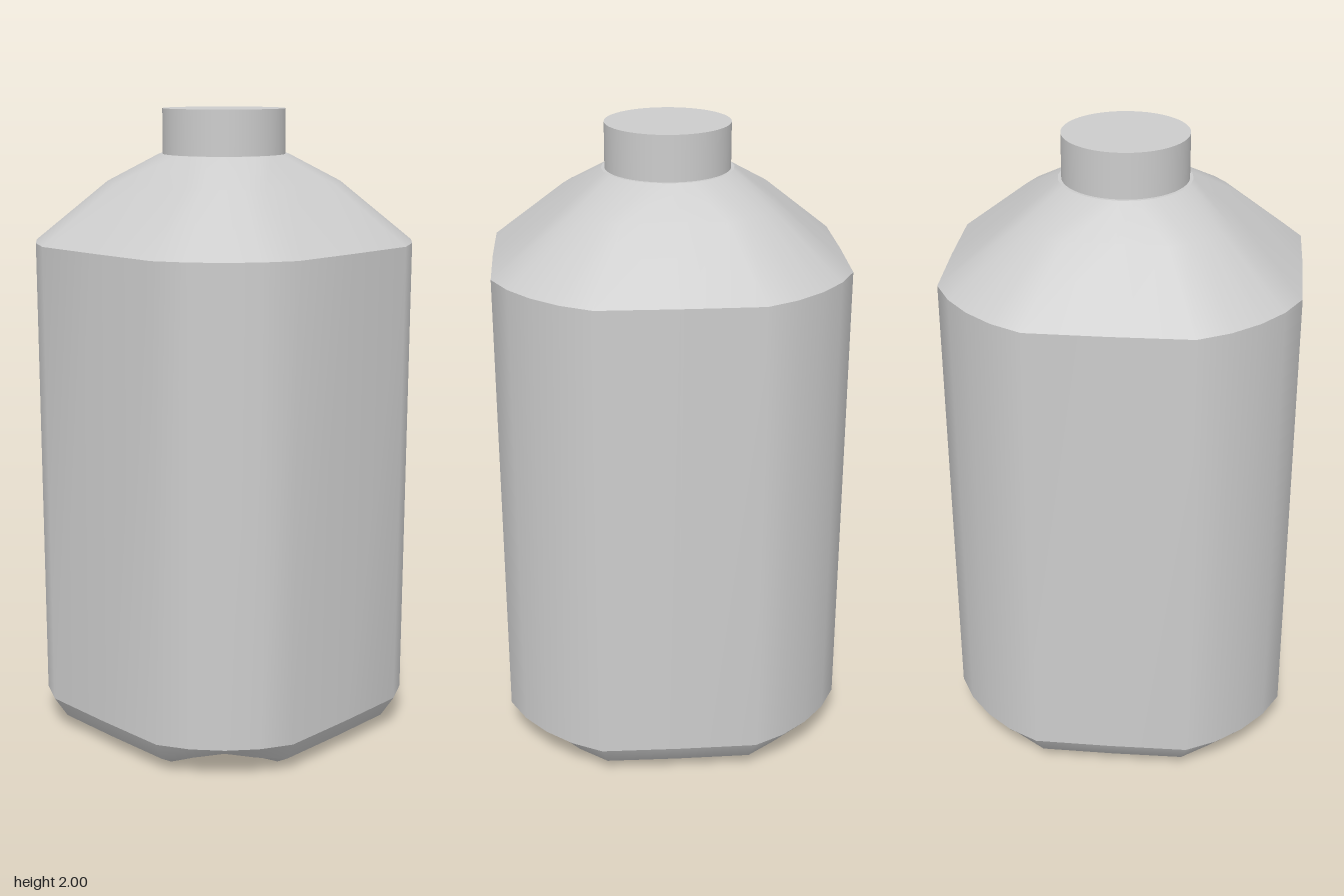
import * as THREE from 'three';

// One quarter of each outline as [x, z]; repeated four times around the axis
const BODY = [[0, 0.543], [0.245, 0.54], [0.34, 0.49], [0.422, 0.422], [0.49, 0.34], [0.54, 0.245]];
const SHOULDER = [[0, 0.315], [0.15, 0.322], [0.21, 0.296], [0.26, 0.26], [0.296, 0.21], [0.322, 0.15]];
const CIRCLE = Array.from({ length: 6 }, (_, i) => [Math.sin(i * Math.PI / 12), Math.cos(i * Math.PI / 12)]);
// How far each outline point is towards the raised corner of the base
const CORNER = [0, 0, 0.5, 1, 0.5, 0];

// Full ring from a quarter outline; height may vary between yFlat and yCorner
function ring(quarter, scale, yFlat, yCorner = yFlat) {
  const points = [];
  for (let q = 0; q < 4; q++) {
    quarter.forEach(([px, pz], i) => {
      let x = px * scale, z = pz * scale;
      for (let k = 0; k < q; k++) [x, z] = [z, -x];
      points.push([x, yFlat + (yCorner - yFlat) * CORNER[i], z]);
    });
  }
  return points;
}

// Smooth skin through rings listed from bottom to top
function loft(rings) {
  const n = rings[0].length, index = [];
  for (let i = 0; i < rings.length - 1; i++) {
    for (let j = 0; j < n; j++) {
      const k = (j + 1) % n;
      const a = i * n + j, b = i * n + k, c = b + n, d = a + n;
      index.push(a, b, c, a, c, d);
    }
  }
  const geometry = new THREE.BufferGeometry();
  geometry.setAttribute('position', new THREE.Float32BufferAttribute(rings.flat(2), 3));
  geometry.setIndex(index);
  geometry.computeVertexNormals();
  return geometry;
}

export function createModel() {
  const group = new THREE.Group();
  const material = new THREE.MeshStandardMaterial({ color: 0xcccccc });
  const add = (name, geometry, y = 0) => {
    const mesh = new THREE.Mesh(geometry, material);
    mesh.name = name;
    mesh.position.y = y;
    group.add(mesh);
  };

  // Base with four feet, raised corners and a hollow centre
  add('base', loft([
    ring(BODY, 0.01, 0.06),
    ring(BODY, 0.25, 0.05, 0.065),
    ring(BODY, 0.48, 0.03, 0.065),
    ring(BODY, 0.8, 0, 0.065),
    ring(BODY, 0.93, 0.045, 0.08),
    ring(BODY, 1, 0.11),
  ]));
  const plug = new THREE.CircleGeometry(0.006, 24).rotateX(Math.PI / 2);
  add('baseCentre', plug, 0.06);

  // Straight walls
  add('body', loft([ring(BODY, 1, 0.11), ring(BODY, 1, 1.59)]));

  // Shoulder blending from the rounded square to the round neck
  add('shoulder', loft([
    ring(BODY, 1, 1.59),
    ring(SHOULDER, 1, 1.775),
    ring(CIRCLE, 0.204, 1.86),
  ]));
  add('neckLedge', new THREE.CircleGeometry(0.204, 24).rotateX(-Math.PI / 2), 1.86);

  // Capped neck
  add('neck', new THREE.CylinderGeometry(0.193, 0.193, 0.14, 48), 1.93);
  return group;
}
